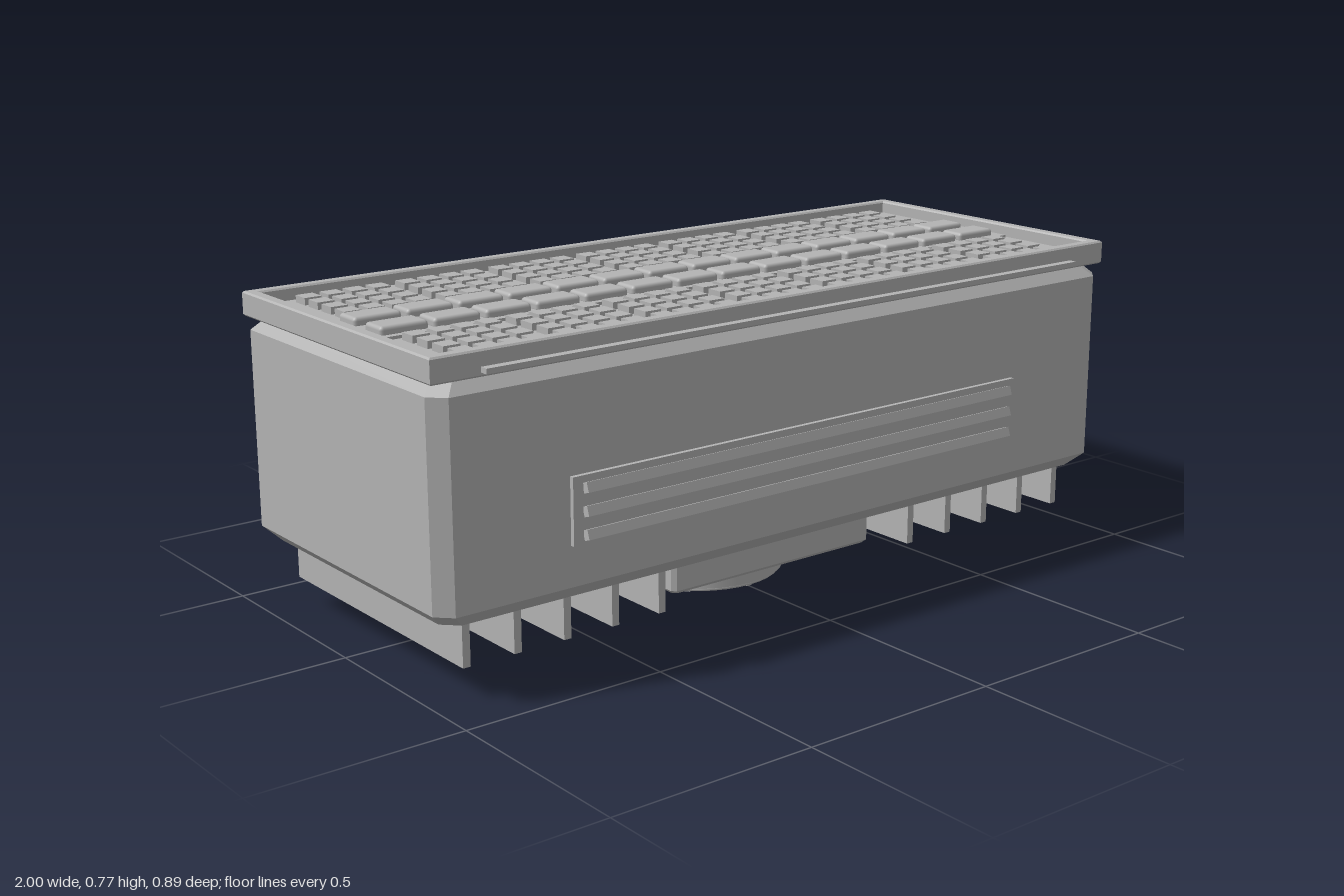
import * as THREE from 'three';
import { ConvexGeometry } from 'three/addons/geometries/ConvexGeometry.js';
import { RoundedBoxGeometry } from 'three/addons/geometries/RoundedBoxGeometry.js';

const grey = new THREE.MeshStandardMaterial({ color: 0xb3b3b3 });
grey.name = 'plain grey';

export function createModel() {
  const model = new THREE.Group();
  model.name = 'ventedHousing';

  const add = (name, geometry, x = 0, y = 0, z = 0, parent = model) => {
    const mesh = new THREE.Mesh(geometry, grey);
    mesh.name = name;
    mesh.position.set(x, y, z);
    parent.add(mesh);
    return mesh;
  };
  const group = (name) => {
    const g = new THREE.Group();
    g.name = name;
    model.add(g);
    return g;
  };
  // Box between y0 and y1
  const slab = (name, w, d, y0, y1, x = 0, z = 0, parent = model) =>
    add(name, new THREE.BoxGeometry(w, y1 - y0, d), x, (y0 + y1) / 2, z, parent);

  // Solid with cut corners; each level is [y, inset]
  const chamfered = (hx, hz, cut, levels) => {
    const points = [];
    for (const [y, inset] of levels)
      for (const sx of [-1, 1])
        for (const sz of [-1, 1]) {
          const x = hx - inset, z = hz - inset;
          points.push(new THREE.Vector3(sx * x, y, sz * (z - cut)));
          points.push(new THREE.Vector3(sx * (x - cut), y, sz * z));
        }
    return new ConvexGeometry(points);
  };

  // Main housing
  add('housing', chamfered(0.998, 0.414, 0.035,
    [[0.175, 0.035], [0.21, 0], [0.68, 0], [0.708, 0.026]]));

  // Lid: raised rim around a sunken deck
  const bevel = 0.004;
  const rect = (T, hx, hz) => new T([
    new THREE.Vector2(-hx, -hz), new THREE.Vector2(hx, -hz),
    new THREE.Vector2(hx, hz), new THREE.Vector2(-hx, hz)]);
  const rim = rect(THREE.Shape, 1 - bevel, 0.406 - bevel);
  rim.holes.push(rect(THREE.Path, 0.97 + bevel, 0.376 + bevel));
  const rimGeometry = new THREE.ExtrudeGeometry(rim, {
    depth: 0.058 - 2 * bevel, bevelEnabled: true,
    bevelThickness: bevel, bevelSize: bevel, bevelSegments: 1 });
  rimGeometry.rotateX(-Math.PI / 2);
  add('lidRim', rimGeometry, 0, 0.708 + bevel, 0);
  slab('lidDeck', 1.96, 0.77, 0.709, 0.735);
  slab('frontLip', 1.76, 0.024, 0.718, 0.73, 0, 0.415);

  // Square studs in blocks of four by four
  const studs = group('deckStuds');
  const stud = new THREE.BoxGeometry(0.043, 0.018, 0.043);
  for (let block = -3; block <= 3; block++)
    for (let i = 0; i < 4; i++)
      for (let row = 0; row < 4; row++)
        for (const side of [-1, 1])
          add('stud', stud, block * 0.261 + (i - 1.5) * 0.0605, 0.743,
            side * (0.145 + row * 0.0605), studs);

  // Central strip with two rows of rounded keys
  slab('keyStrip', 1.92, 0.216, 0.73, 0.742);
  const keys = group('keys');
  const key = new RoundedBoxGeometry(0.12, 0.026, 0.07, 2, 0.009);
  for (let i = 0; i < 14; i++)
    for (const z of [-0.056, 0.056])
      add('key', key, (i - 6.5) * 0.1335, 0.748, z, keys);

  // Louvre panels front and back
  const slat = new THREE.BoxGeometry(1.29, 0.023, 0.018);
  for (const side of [1, -1]) {
    const vent = group(side > 0 ? 'frontVent' : 'backVent');
    slab('ventPanel', 1.342, 0.02, 0.305, 0.46, 0, side * 0.415, vent);
    for (const y of [0.434, 0.381, 0.328])
      add('slat', slat, 0, y, side * 0.433, vent).rotation.x = -0.32;
  }

  // Cooling fins underneath
  const fins = group('fins');
  for (const side of [-1, 1])
    for (let i = 0; i < 5; i++)
      slab('fin', 0.019, 0.724, 0.07, 0.18, side * (0.388 + i * 0.13), 0, fins);

  // Fan mount and round fan
  add('fanMount', chamfered(0.307, 0.3, 0.01,
    [[0.073, 0.009], [0.082, 0], [0.164, 0], [0.178, 0.009]]));
  add('fanHousing', new THREE.CylinderGeometry(0.215, 0.215, 0.066, 32), 0, 0.045, 0);

  // Grille of rings and spokes below the fan
  const grille = group('fanGrille');
  for (const radius of [0.06, 0.11, 0.16, 0.203]) {
    const ring = new THREE.TorusGeometry(radius, 0.0055, 8, 40);
    ring.rotateX(Math.PI / 2);
    add('ring', ring, 0, 0.0075, 0, grille);
  }
  const spoke = new THREE.BoxGeometry(0.41, 0.012, 0.014);
  for (let i = 0; i < 4; i++)
    add('spoke', spoke, 0, 0.007, 0, grille).rotation.y = i * Math.PI / 4;
  add('hub', new THREE.CylinderGeometry(0.03, 0.03, 0.014, 24), 0, 0.007, 0, grille);

  return model;
}
